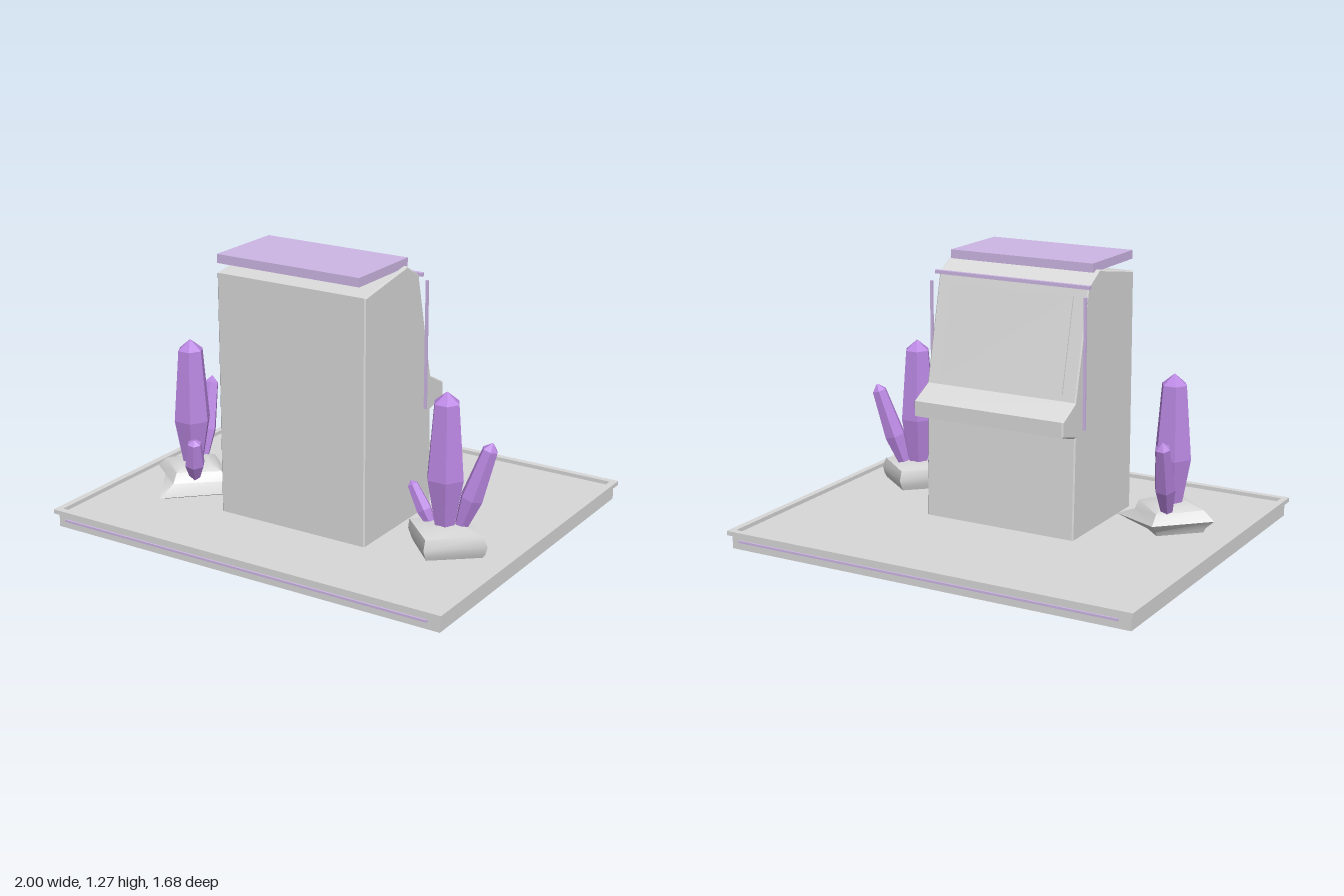
import * as THREE from 'three';
import { toCreasedNormals } from 'three/addons/utils/BufferGeometryUtils.js';

const mat = (name, color) => {
  const m = new THREE.MeshStandardMaterial({ color });
  m.name = name;
  return m;
};

export function createModel() {
  const model = new THREE.Group();
  model.name = 'cabinetDiorama';
  const grey = mat('stoneGrey', 0xd8d8d8);
  const lilac = mat('paleLilac', 0xcdb6e4);
  const purple = mat('crystalPurple', 0xba87e2);

  const add = (name, geometry, material, parent = model) => {
    const mesh = new THREE.Mesh(geometry, material);
    mesh.name = name;
    parent.add(mesh);
    return mesh;
  };
  const box = (name, material, w, h, d, x, y, z) => {
    const mesh = add(name, new THREE.BoxGeometry(w, h, d), material);
    mesh.position.set(x, y, z);
    return mesh;
  };

  // Rectangular frame with an open middle, from half sizes and wall thickness
  const frame = (name, hx, hz, wall, y, height) => {
    const corners = (a, b) => [[-a, -b], [a, -b], [a, b], [-a, b]].map(p => new THREE.Vector2(...p));
    const shape = new THREE.Shape(corners(hx, hz));
    shape.holes.push(new THREE.Path(corners(hx - wall, hz - wall).reverse()));
    const g = new THREE.ExtrudeGeometry(shape, { depth: height, bevelEnabled: false });
    add(name, g.rotateX(-Math.PI / 2).translate(0, y, 0), grey);
  };

  // Plinth: hollow underneath, thin floor, raised rim
  frame('plinthWall', 0.985, 0.82, 0.016, 0, 0.065);
  frame('plinthRim', 1, 0.84, 0.03, 0.065, 0.02);
  box('plinthFloor', grey, 1.96, 0.012, 1.63, 0, 0.061, 0);
  for (const s of [1, -1]) box('plinthLightStrip', lilac, 1.87, 0.01, 0.008, 0, 0.045, s * 0.838);

  // Cabinet body: side profile as [z, y], extruded across x
  const profile = [[0.41, 0.06], [0.41, 1.18], [0.07, 1.24], [-0.03, 1.18], [-0.145, 0.69],
    [-0.26, 0.63], [-0.26, 0.56], [-0.145, 0.53], [-0.16, 0.06]];
  const side = new THREE.Shape(profile.map(([z, y]) => new THREE.Vector2(-z, y)));
  const body = new THREE.ExtrudeGeometry(side, {
    depth: 0.742, bevelEnabled: true, bevelSize: 0.006, bevelThickness: 0.006, bevelOffset: -0.006, bevelSegments: 1,
  });
  body.translate(0, 0, -0.371).rotateY(Math.PI / 2);
  add('cabinetBody', body, grey);

  // Sloping screen, roof sign and light strips
  box('screen', grey, 0.62, 0.43, 0.008, 0, 0.925, -0.092).rotation.x = 0.23;
  box('roofSign', lilac, 0.72, 0.04, 0.39, 0, 1.25, 0.235);
  box('topLightStrip', lilac, 0.78, 0.016, 0.018, 0, 1.18, -0.041);
  for (const s of [1, -1]) box('sideLightStrip', lilac, 0.012, 0.59, 0.01, s * 0.388, 0.85, -0.082);

  // Four-cornered boulder from rings of [y, +x, +z, -x, -z] reaches
  const boulder = (name, cx, cz, rings, topY, parent) => {
    const pos = [], idx = [], n = rings.length;
    for (const [y, px, pz, nx, nz] of rings) {
      pos.push(cx + px, y, cz, cx, y, cz + pz, cx - nx, y, cz, cx, y, cz - nz);
    }
    pos.push(cx, topY, cz, cx, rings[0][0], cz);
    for (let i = 0; i < 4; i++) {
      const j = (i + 1) % 4;
      for (let k = 0; k < n - 1; k++) {
        const a = k * 4, b = a + 4;
        idx.push(a + i, b + i, a + j, a + j, b + i, b + j);
      }
      const t = (n - 1) * 4;
      idx.push(n * 4, t + j, t + i, n * 4 + 1, i, j);
    }
    const g = new THREE.BufferGeometry();
    g.setAttribute('position', new THREE.Float32BufferAttribute(pos, 3));
    g.setIndex(idx);
    add(name, toCreasedNormals(g, 0.9), grey, parent);
  };

  // Six-sided crystal from a base point to a tip
  const up = new THREE.Vector3(0, 1, 0);
  const crystal = (name, base, tip, r, parent) => {
    const from = new THREE.Vector3(...base), axis = new THREE.Vector3(...tip).sub(from);
    const h = axis.length();
    const pts = [[0, 0], [0.5, 0], [1, 0.38], [0.68, 0.92], [0, 1]].map(([a, b]) => new THREE.Vector2(a * r, b * h));
    const g = toCreasedNormals(new THREE.LatheGeometry(pts, 6).rotateY(Math.PI / 6), 0.1);
    const mesh = add(name, g, purple, parent);
    mesh.position.copy(from);
    mesh.quaternion.setFromUnitVectors(up, axis.normalize());
  };

  const leftCluster = new THREE.Group();
  leftCluster.name = 'leftCrystalCluster';
  boulder('leftBoulder', 0.67, 0.23, [
    [0.058, 0.18, 0.15, 0.15, 0.14], [0.085, 0.2, 0.165, 0.165, 0.155], [0.12, 0.21, 0.18, 0.18, 0.17],
    [0.165, 0.19, 0.165, 0.175, 0.155], [0.182, 0.1, 0.09, 0.1, 0.09]], 0.19, leftCluster);
  crystal('tallCrystal', [0.67, 0.16, 0.23], [0.67, 0.78, 0.23], 0.088, leftCluster);
  crystal('mediumCrystal', [0.725, 0.15, 0.2], [0.848, 0.56, 0.145], 0.052, leftCluster);
  crystal('smallCrystal', [0.61, 0.15, 0.23], [0.5, 0.345, 0.23], 0.036, leftCluster);

  const rightCluster = new THREE.Group();
  rightCluster.name = 'rightCrystalCluster';
  boulder('rightBoulder', -0.67, 0.23, [
    [0.048, 0.15, 0.14, 0.15, 0.14], [0.088, 0.27, 0.26, 0.17, 0.16], [0.125, 0.18, 0.16, 0.21, 0.2],
    [0.17, 0.16, 0.13, 0.16, 0.16], [0.19, 0.1, 0.09, 0.1, 0.1]], 0.2, rightCluster);
  crystal('tallCrystal', [-0.675, 0.16, 0.225], [-0.675, 0.78, 0.225], 0.088, rightCluster);
  crystal('mediumCrystal', [-0.69, 0.15, 0.14], [-0.73, 0.53, -0.01], 0.05, rightCluster);
  crystal('smallCrystal', [-0.61, 0.14, 0.3], [-0.575, 0.345, 0.345], 0.048, rightCluster);
  model.add(leftCluster, rightCluster);

  return model;
}
